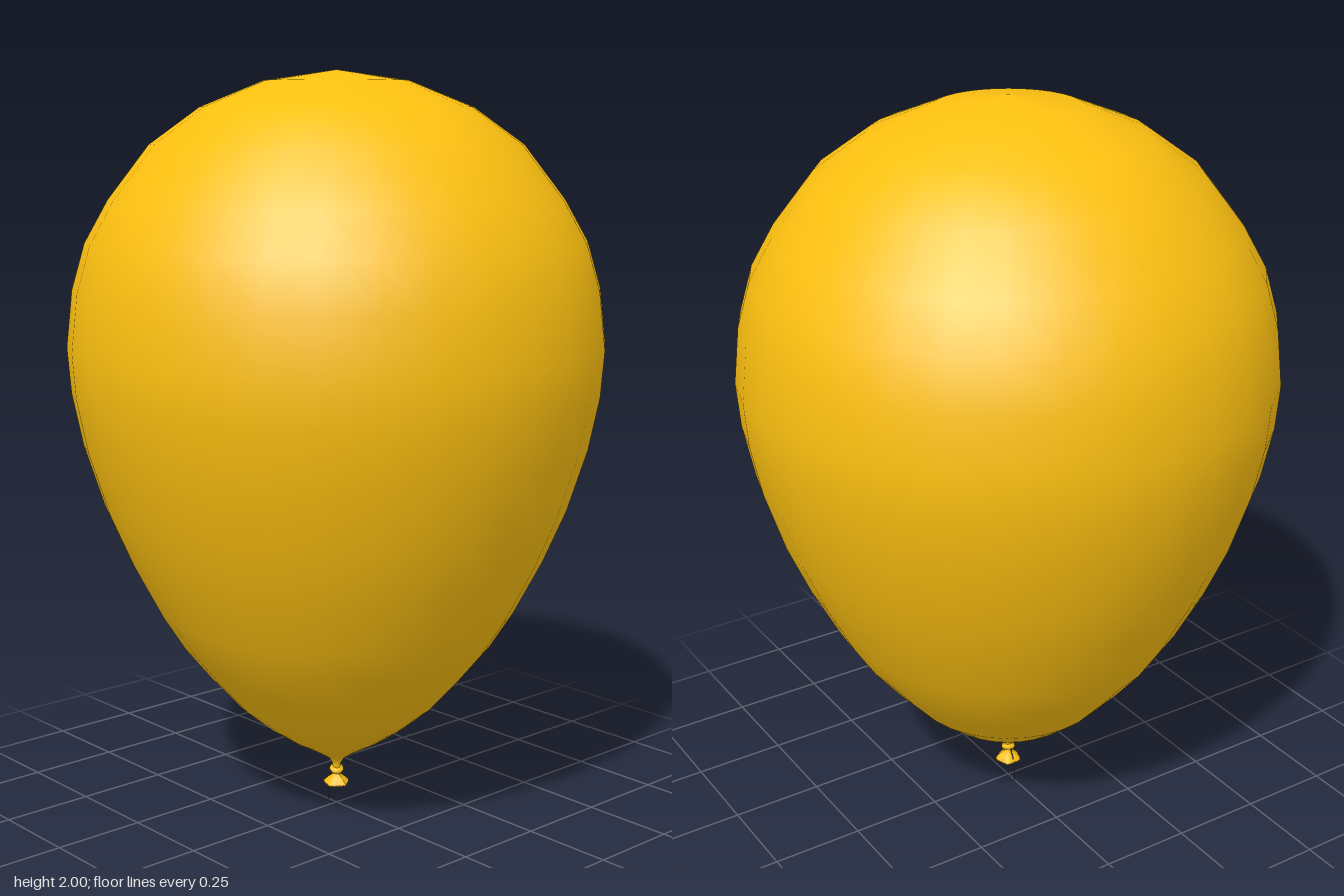
import * as THREE from 'three';

const v2 = ([r, y]) => new THREE.Vector2(r, y);

export function createModel() {
  const group = new THREE.Group();
  const rubber = new THREE.MeshStandardMaterial({ color: 0xfcc010, side: THREE.DoubleSide });
  const thread = new THREE.MeshStandardMaterial({ color: 0x555555 });

  const add = (name, geometry, material = rubber) => {
    const mesh = new THREE.Mesh(geometry, material);
    mesh.name = name;
    group.add(mesh);
    return mesh;
  };

  // Inflated body, from the pinched neck up to the crown
  const body = [
    [0.011, 0.09], [0.011, 0.115], [0.022, 0.133], [0.06, 0.157], [0.13, 0.197],
    [0.2, 0.245], [0.275, 0.308], [0.355, 0.398], [0.425, 0.485], [0.485, 0.58],
    [0.56, 0.725], [0.62, 0.865], [0.672, 1.03], [0.7, 1.17], [0.709, 1.29],
    [0.692, 1.44], [0.657, 1.56], [0.595, 1.67], [0.487, 1.81], [0.355, 1.905],
    [0.19, 1.972], [0, 2],
  ].map(v2);
  add('balloonBody', new THREE.LatheGeometry(body, 32));

  // Knot: a slightly tilted roll around the neck
  const knot = add('knot', new THREE.TorusGeometry(0.011, 0.009, 8, 16));
  knot.position.set(0, 0.099, 0);
  knot.rotation.set(Math.PI / 2 + 0.3, 0.15, 0);

  // Flared mouth below the knot, with a wavy hem
  const mouth = new THREE.LatheGeometry(
    [[0.022, 0.064], [0.033, 0.056], [0.034, 0.062], [0.022, 0.074], [0.011, 0.083], [0.01, 0.1]].map(v2), 20);
  const p = mouth.attributes.position;
  for (let i = 0; i < p.count; i++) {
    const x = p.getX(i), z = p.getZ(i);
    const wave = 1 + 0.09 * Math.sin(5 * Math.atan2(z, x));
    p.setXYZ(i, x * wave, p.getY(i), z * wave);
  }
  mouth.computeVertexNormals();
  add('mouth', mouth);

  // Fine loose string hanging behind the mouth
  const path = new THREE.CatmullRomCurve3([
    new THREE.Vector3(0, 0.095, -0.012), new THREE.Vector3(0, 0.075, -0.024),
    new THREE.Vector3(0, 0.045, -0.03), new THREE.Vector3(0, 0, -0.034),
  ]);
  add('string', new THREE.TubeGeometry(path, 12, 0.0015, 5), thread);

  return group;
}
